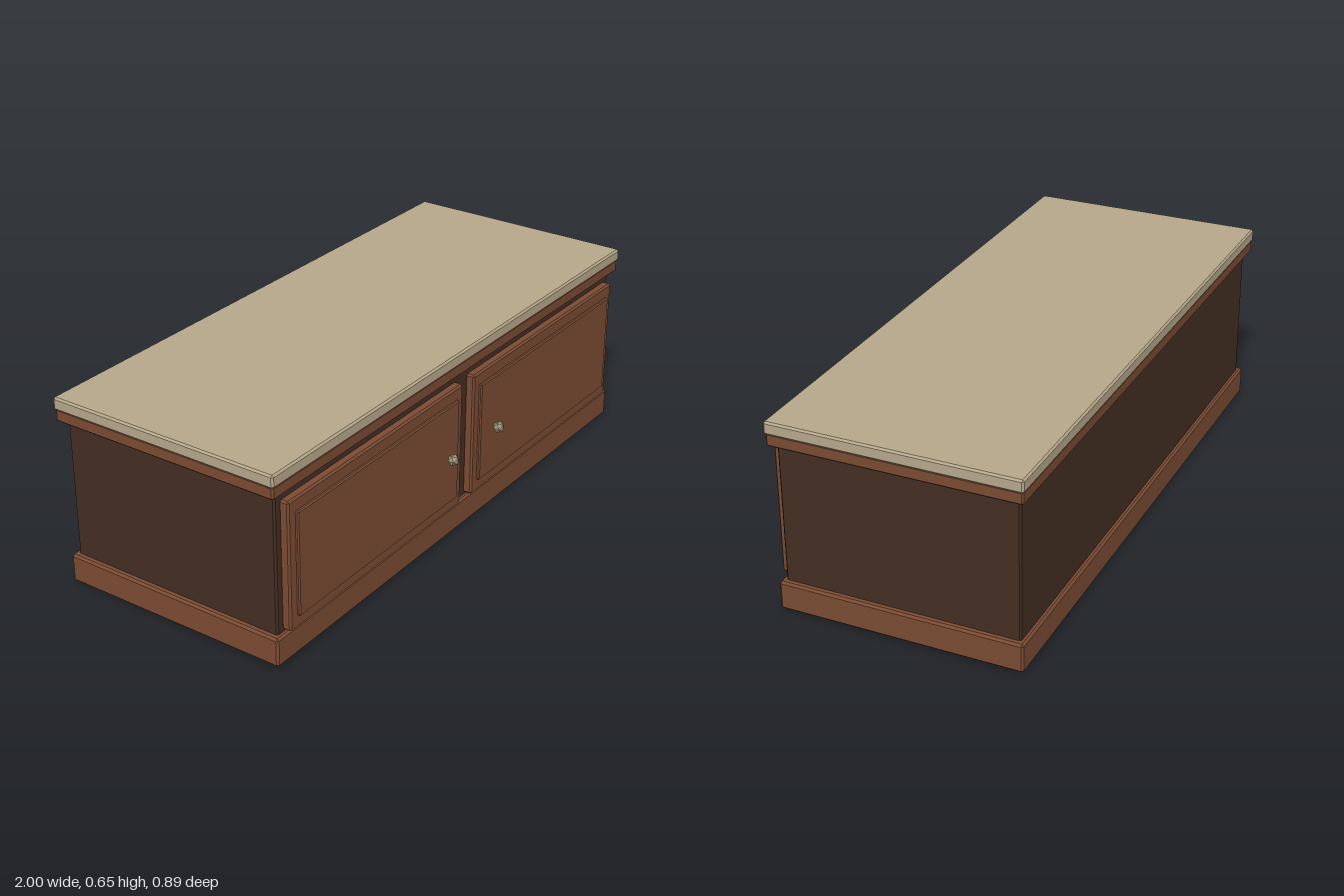
import * as THREE from 'three';
import { ConvexGeometry } from 'three/addons/geometries/ConvexGeometry.js';

const material = (name, color) => {
  const m = new THREE.MeshStandardMaterial({ color });
  m.name = name;
  return m;
};

// Box between two corners with every edge chamfered by c
function chamferBox(min, max, c) {
  const lo = new THREE.Vector3(...min), hi = new THREE.Vector3(...max);
  const half = hi.clone().sub(lo).multiplyScalar(0.5);
  const mid = hi.clone().add(lo).multiplyScalar(0.5);
  const points = [];
  for (const sx of [-1, 1]) for (const sy of [-1, 1]) for (const sz of [-1, 1]) {
    for (let axis = 0; axis < 3; axis++) {
      const inset = [c, c, c];
      inset[axis] = 0;
      points.push(new THREE.Vector3(
        mid.x + sx * (half.x - inset[0]),
        mid.y + sy * (half.y - inset[1]),
        mid.z + sz * (half.z - inset[2])));
    }
  }
  return new ConvexGeometry(points);
}

export function createModel() {
  const group = new THREE.Group();
  group.name = 'lowCabinet';
  const wood = material('brown wood', 0x7a4b33);
  const darkWood = material('dark wood', 0x432d22);
  const stone = material('beige top', 0xb5a78a);
  const metal = material('knob metal', 0xa39679);

  const add = (parent, name, geometry, mat) => {
    const mesh = new THREE.Mesh(geometry, mat);
    mesh.name = name;
    parent.add(mesh);
    return mesh;
  };

  // Carcass, plinth, cornice and worktop
  add(group, 'body', chamferBox([-0.967, 0, -0.42], [0.967, 0.59, 0.365], 0.006), darkWood);
  add(group, 'plinth', chamferBox([-0.987, 0.002, -0.435], [0.987, 0.1, 0.38], 0.007), wood);
  add(group, 'cornice', chamferBox([-0.996, 0.571, -0.44], [0.996, 0.616, 0.384], 0.006), wood);
  add(group, 'worktop', chamferBox([-1, 0.611, -0.443], [1, 0.654, 0.388], 0.006), stone);

  // Two mirrored doors, each with a raised panel and a knob
  for (const side of [-1, 1]) {
    const door = new THREE.Group();
    door.name = side > 0 ? 'leftDoor' : 'rightDoor';
    door.position.x = side * 0.487;
    group.add(door);
    add(door, 'doorLeaf', chamferBox([-0.454, 0.107, 0.36], [0.454, 0.544, 0.394], 0.006), wood);
    add(door, 'raisedPanel', chamferBox([-0.422, 0.149, 0.38], [0.422, 0.502, 0.404], 0.004), wood);
    const knob = add(door, 'knob', new THREE.IcosahedronGeometry(0.02, 0), metal);
    knob.position.set(-side * 0.351, 0.327, 0.43);
  }
  return group;
}
